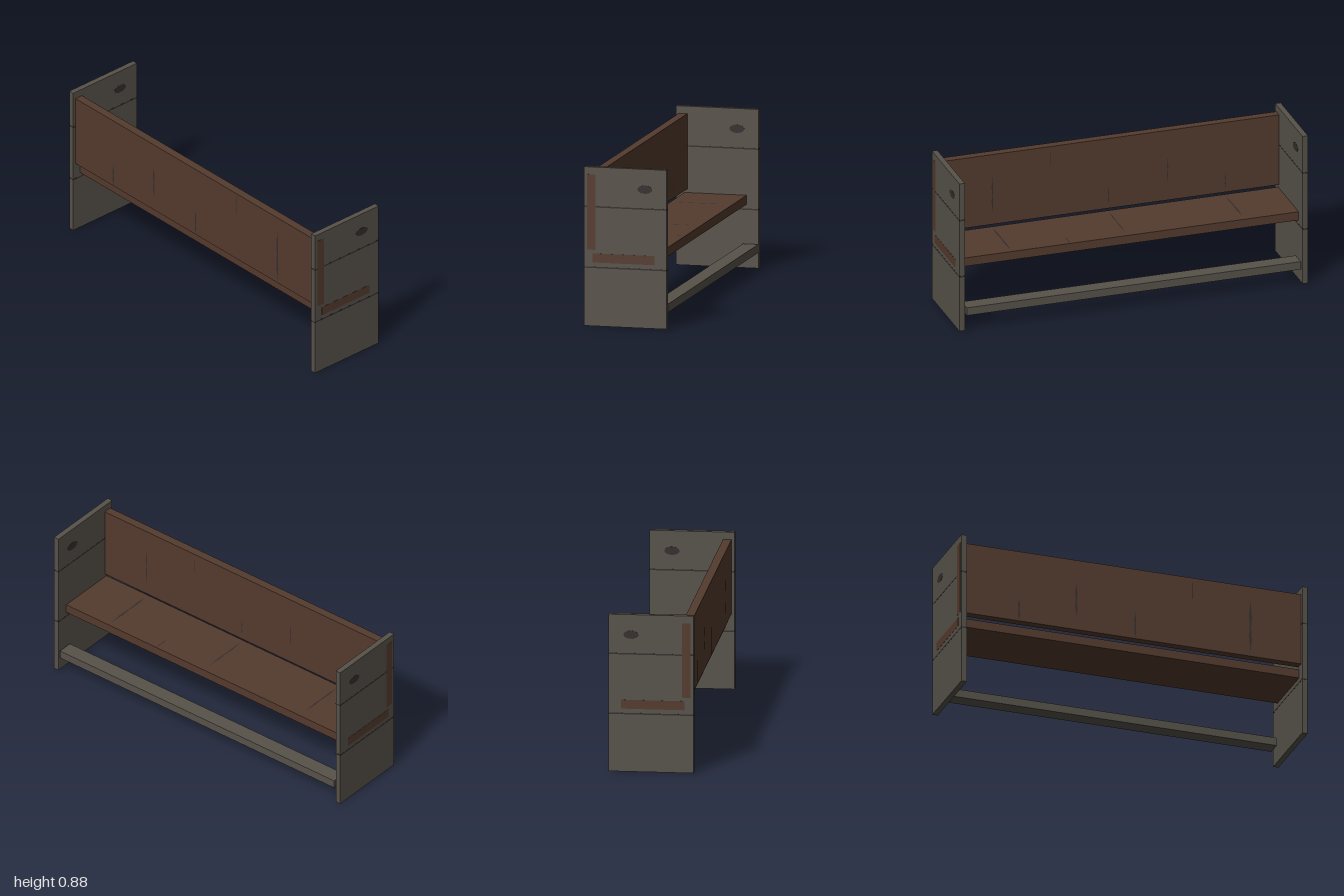
import * as THREE from 'three';

const greyWood = new THREE.MeshStandardMaterial({ name: 'weathered grey wood', color: 0x57524a });
const brownWood = new THREE.MeshStandardMaterial({ name: 'brown wood', color: 0x543a2d });
const darkWood = new THREE.MeshStandardMaterial({ name: 'dark cracks and knots', color: 0x352d2d });

// Box given by its lower and upper limits on each axis
function board(name, material, [x0, x1], [y0, y1], [z0, z1]) {
  const mesh = new THREE.Mesh(new THREE.BoxGeometry(x1 - x0, y1 - y0, z1 - z0), material);
  mesh.name = name;
  mesh.position.set((x0 + x1) / 2, (y0 + y1) / 2, (z0 + z1) / 2);
  return mesh;
}

// Thin tapered crack lying in the xy plane and facing +z
function crack(name, width, length) {
  const h = length / 2, w = width / 2;
  const shape = new THREE.Shape([
    [0, -h], [w, -h * 0.55], [w * 0.5, -h * 0.1], [w, h * 0.3], [0, h],
    [-w, h * 0.4], [-w * 0.5, 0], [-w, -h * 0.4],
  ].map(([x, y]) => new THREE.Vector2(x, y)));
  const mesh = new THREE.Mesh(new THREE.ShapeGeometry(shape), darkWood);
  mesh.name = name;
  return mesh;
}

export function createModel() {
  const model = new THREE.Group();
  model.name = 'bench';

  // Boards
  const inner = [-0.97, 0.97];
  model.add(
    board('backrest', brownWood, inner, [0.42, 0.835], [0.168, 0.215]),
    board('seat', brownWood, inner, [0.35, 0.4], [-0.165, 0.183]),
    board('footRail', greyWood, [-0.957, 0.957], [0.088, 0.134], [-0.233, -0.147]),
  );

  // End panels with exposed board ends, seams and knots
  for (const side of [-1, 1]) {
    const end = new THREE.Group();
    end.name = side > 0 ? 'leftEnd' : 'rightEnd';
    const span = (a, b) => (side > 0 ? [a, b] : [-b, -a]);
    end.add(
      board('endPanel', greyWood, span(0.968, 0.999), [0, 0.876], [-0.232, 0.232]),
      board('backrestEnd', brownWood, span(0.998, 1), [0.42, 0.835], [0.168, 0.215]),
      board('seatEnd', brownWood, span(0.998, 1), [0.35, 0.4], [-0.165, 0.183]),
    );
    for (const y of [0.323, 0.657]) {
      end.add(board('panelSeam', darkWood, span(0.9675, 0.9995), [y - 0.004, y + 0.004], [-0.2325, 0.2325]));
    }
    const knot = new THREE.Mesh(new THREE.CylinderGeometry(1, 1, 0.033, 14), darkWood);
    knot.name = 'knot';
    knot.rotation.z = Math.PI / 2;
    knot.scale.set(0.023, 1, 0.042);
    knot.position.set(side * 0.9835, 0.764, -0.11);
    end.add(knot);
    model.add(end);
  }

  // Backrest cracks: x, centre y, width, length
  for (const [x, y, w, l] of [
    [-0.66, 0.49, 0.014, 0.13], [-0.33, 0.6, 0.014, 0.2], [0.01, 0.5, 0.012, 0.15],
    [0.34, 0.76, 0.007, 0.13], [0.675, 0.6, 0.016, 0.32],
  ]) {
    const front = crack('frontCrack', w, l);
    front.position.set(x, y, 0.216);
    const back = crack('backCrack', w * 0.5, l * 0.7);
    back.rotation.y = Math.PI;
    back.position.set(x, y, 0.167);
    model.add(front, back);
  }

  // Seat cracks: x, centre z, width, length
  for (const [x, z, w, l] of [
    [-0.66, 0.02, 0.012, 0.28], [0.01, 0.02, 0.01, 0.28],
    [0.34, -0.12, 0.008, 0.08], [0.675, 0.01, 0.014, 0.3],
  ]) {
    const top = crack('seatCrack', w, l);
    top.rotation.x = -Math.PI / 2;
    top.position.set(x, 0.401, z);
    model.add(top);
  }

  return model;
}
